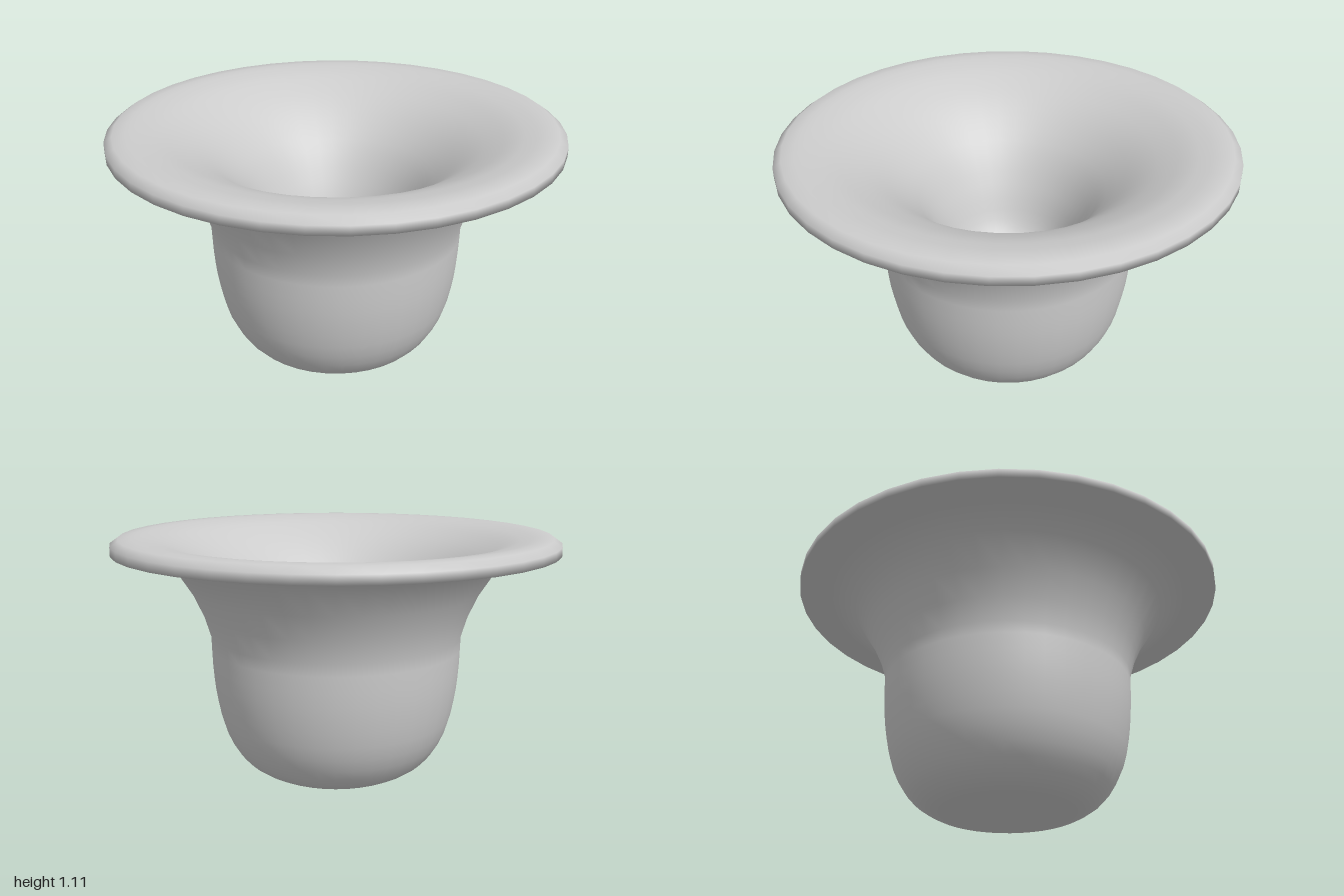
import * as THREE from 'three';

const SIDES = 40;

// Smooth run of [radius, height] points
function smooth(points, divisions) {
  return new THREE.SplineCurve(points.map(([r, y]) => new THREE.Vector2(r, y))).getPoints(divisions);
}

export function createModel() {
  const group = new THREE.Group();
  group.name = 'flaredBowl';

  // Flat foot and rounded outer wall
  const wall = smooth([[0.29, 0], [0.36, 0.018], [0.45, 0.085], [0.52, 0.21],
    [0.555, 0.36], [0.57, 0.5], [0.575, 0.65]], 14);
  // Outer flare and rolled rim
  const rim = [[0.605, 0.75], [0.655, 0.86], [0.735, 0.985], [0.87, 1.045], [1, 1.045],
    [1, 1.085], [0.965, 1.11]].map(([r, y]) => new THREE.Vector2(r, y));
  // Broad lip sloping into a trumpet-shaped throat with a small dished floor
  const inside = smooth([[0.91, 1.113], [0.8, 1.095], [0.7, 1.055], [0.6, 1], [0.5, 0.92],
    [0.4, 0.81], [0.31, 0.65], [0.26, 0.53], [0.21, 0.455], [0.13, 0.425], [0, 0.415]], 24);

  const profile = [new THREE.Vector2(0, 0), ...wall, ...rim, ...inside];
  const bowl = new THREE.Mesh(
    new THREE.LatheGeometry(profile, SIDES),
    new THREE.MeshStandardMaterial({ color: 0xcccccc })
  );
  bowl.name = 'bowl';
  group.add(bowl);
  return group;
}
